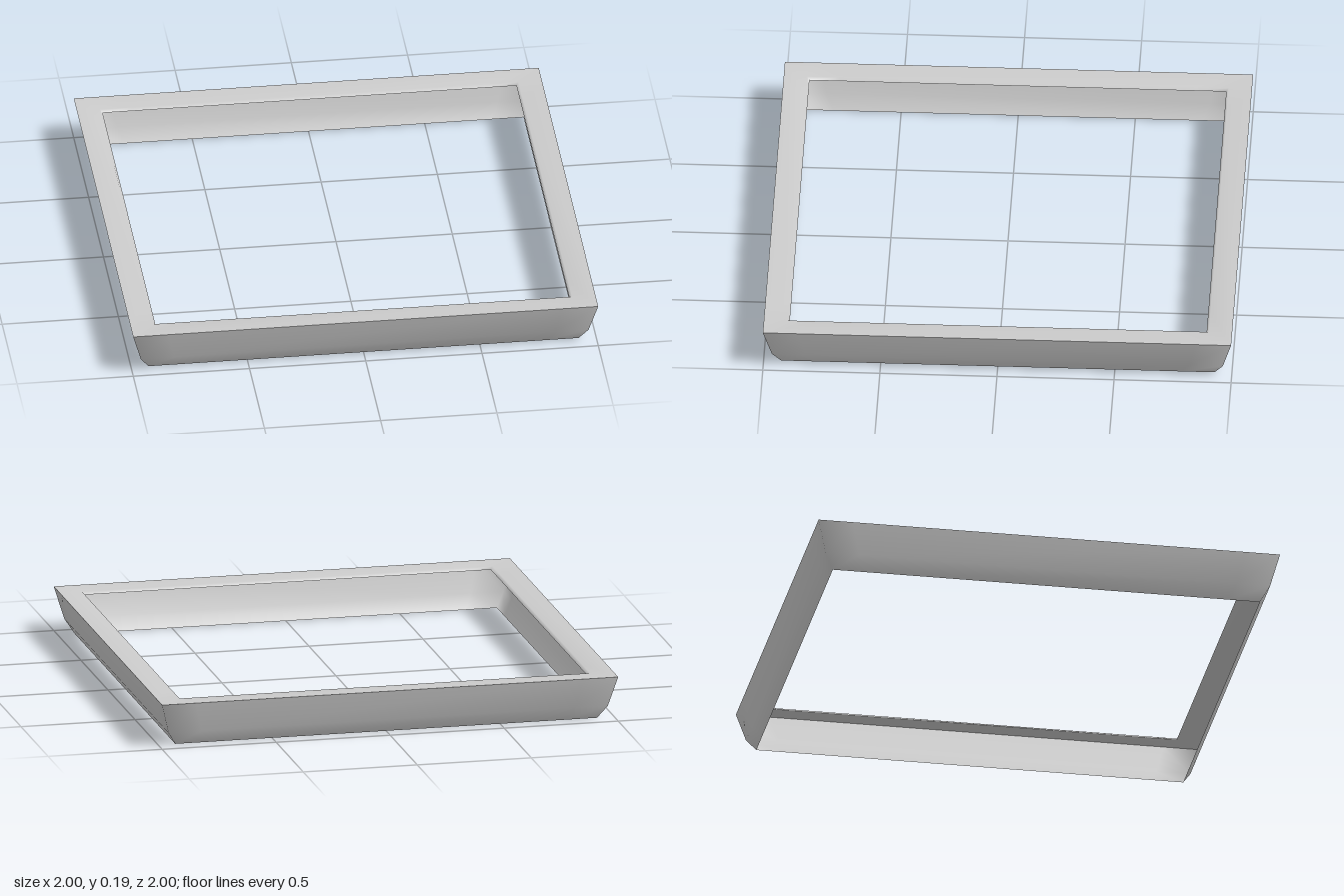
import * as THREE from 'three';

const material = new THREE.MeshStandardMaterial({ color: 0xcccccc, side: THREE.DoubleSide });

// Unit square outline, with extra points near each corner to keep the corner shading local
function squareOutline(inset = 0.85) {
  const points = [];
  for (let i = 0; i < 4; i++) {
    const a = (i * Math.PI) / 2;
    for (const [x, z] of [[1, -inset], [1, inset], [1, 1]]) {
      points.push([x * Math.cos(a) - z * Math.sin(a), x * Math.sin(a) + z * Math.cos(a)]);
    }
  }
  return points;
}

// Sweeps a [half width, height] profile around the square, with smooth normals
function squareSweep(name, profile) {
  const outline = squareOutline();
  const n = outline.length;
  const positions = [];
  const indices = [];
  profile.forEach(([r, y], row) => {
    outline.forEach(([x, z], i) => {
      positions.push(x * r, y, z * r);
      if (row === 0) return;
      const j = (i + 1) % n;
      const a = (row - 1) * n + i, b = (row - 1) * n + j;
      const c = row * n + i, d = row * n + j;
      indices.push(a, c, b, b, c, d);
    });
  });
  const geometry = new THREE.BufferGeometry();
  geometry.setAttribute('position', new THREE.Float32BufferAttribute(positions, 3));
  geometry.setIndex(indices);
  geometry.computeVertexNormals();
  const mesh = new THREE.Mesh(geometry, material);
  mesh.name = name;
  return mesh;
}

export function createModel() {
  const group = new THREE.Group();
  group.name = 'squareFrame';

  // Flared outer wall, open at the bottom
  group.add(squareSweep('outerWall', [[0.925, 0], [0.963, 0.06], [1, 0.195]]));

  // Top rim with a small turned-down inner lip
  group.add(squareSweep('topRim', [[1, 0.195], [0.9, 0.192], [0.89, 0.18]]));

  return group;
}
